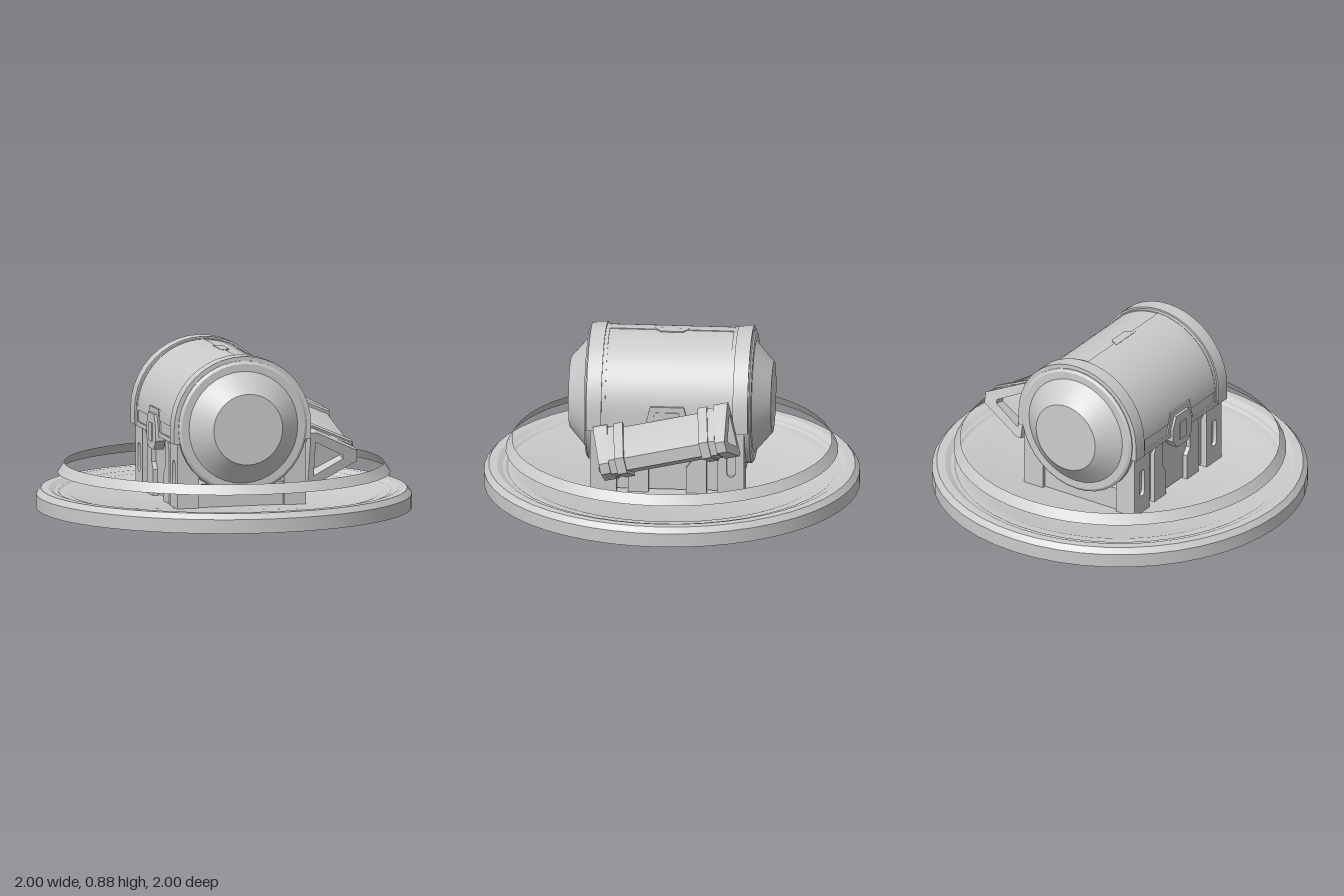
import * as THREE from 'three';
import { toCreasedNormals } from 'three/addons/utils/BufferGeometryUtils.js';

const material = new THREE.MeshStandardMaterial({ color: 0xcccccc });
const thin = new THREE.MeshStandardMaterial({ color: 0xcccccc, side: THREE.DoubleSide });
const CX = -0.018, CY = 0.5; // axis of the canister

function add(parent, name, geometry, x = 0, y = 0, z = 0, mat = material) {
  const mesh = new THREE.Mesh(toCreasedNormals(geometry, 0.45), mat);
  mesh.name = name;
  mesh.position.set(x, y, z);
  parent.add(mesh);
  return mesh;
}

const box = (w, h, d) => new THREE.BoxGeometry(w, h, d);
const lathe = (points, n) => new THREE.LatheGeometry(points.map(p => new THREE.Vector2(...p)), n);
const outline = points => new THREE.Shape(points.map(p => new THREE.Vector2(...p)));

// Prism along z between z0 and z1
function prism(shape, z0, z1, curveSegments = 12) {
  const g = new THREE.ExtrudeGeometry(shape, { depth: z1 - z0, bevelEnabled: false, curveSegments });
  return g.translate(0, 0, z0);
}

// Plate on a side wall: shape drawn in (z, y), thickness grows outward from x
function sidePlate(parent, name, shape, side, x, thickness) {
  const g = prism(shape, 0, thickness).rotateY(-Math.PI / 2); // shape x -> z, depth -> -x
  return add(parent, name, g, side > 0 ? x + thickness : -x, 0, 0);
}

// Arched section: half ring with straight ends reaching down to y = drop
function arch(outer, inner, drop) {
  const s = new THREE.Shape();
  s.moveTo(outer, drop);
  s.lineTo(outer, 0);
  s.absarc(0, 0, outer, 0, Math.PI, false);
  s.lineTo(-outer, drop);
  s.lineTo(-inner, drop);
  s.lineTo(-inner, 0);
  s.absarc(0, 0, inner, Math.PI, 0, true);
  s.lineTo(inner, drop);
  s.closePath();
  return s;
}

function createBase(parent) {
  // Dished disc with a chamfered rim
  add(parent, 'baseDisc', lathe([[0, 0], [0.72, 0], [0.73, 0.01], [1, 0.01], [1, 0.085], [0.975, 0.115],
    [0.93, 0.115], [0.9, 0.1], [0.885, 0.1], [0.87, 0.09], [0.825, 0.09], [0.775, 0.07], [0, 0.07]], 48));
  // Thin hovering band
  add(parent, 'hoverRing', lathe([[0.885, 0.2], [0.85, 0.253]], 48), 0, 0, 0, thin);
}

function createCanister(parent) {
  const can = new THREE.Group();
  can.name = 'canister';
  can.position.set(CX, CY, 0);
  parent.add(can);

  // Core with bevelled end caps
  add(can, 'core', lathe([[0, -0.54], [0.19, -0.54], [0.287, -0.455], [0.3, -0.445], [0.34, -0.445], [0.355, -0.435],
    [0.355, 0.435], [0.34, 0.445], [0.3, 0.445], [0.287, 0.455], [0.19, 0.54], [0, 0.54]], 36).rotateX(Math.PI / 2));

  // Lid shell, end bands and thin inner lips
  add(can, 'lidShell', prism(arch(0.362, 0.34, -0.08), -0.35, 0.35, 20));
  for (const s of [-1, 1]) {
    add(can, 'endBand', prism(arch(0.378, 0.34, -0.08), -0.04, 0.04, 10), 0, 0, s * 0.39);
    add(can, 'bandLip', prism(arch(0.368, 0.34, -0.08), -0.01, 0.01, 16), 0, 0, s * 0.34);
  }

  // Overlapping half of the lid with its tab
  const half = new THREE.Shape();
  half.absarc(0, 0, 0.366, Math.PI / 2, Math.PI, false);
  half.absarc(0, 0, 0.35, Math.PI, Math.PI / 2, true);
  add(can, 'lidOverlap', prism(half, -0.33, 0.33, 12));
  const tab = outline([[-0.02, -0.09], [0.03, -0.06], [0.03, 0.06], [-0.02, 0.09]]);
  add(can, 'lidTab', prism(tab, 0, 0.012).rotateX(-Math.PI / 2), 0, 0.355, 0);

  for (const side of [-1, 1]) {
    // Stepped trim along the lid edge
    const trim = outline([[-0.35, -0.085], [0.35, -0.085], [0.35, -0.06], [0.12, -0.06], [0.09, 0.06],
      [-0.09, 0.06], [-0.12, -0.06], [-0.35, -0.06]]);
    sidePlate(can, 'edgeTrim', trim, side, 0.352, 0.018);
    // Side latch
    const latch = outline([[-0.05, -0.16], [0.05, -0.16], [0.09, -0.11], [0.09, -0.04], [0.06, 0.03],
      [-0.06, 0.03], [-0.09, -0.04], [-0.09, -0.11]]);
    sidePlate(can, 'latch', latch, side, 0.33, side > 0 ? 0.045 : 0.055);
    sidePlate(can, 'latchButton', outline([[-0.03, -0.12], [0.03, -0.12], [0.03, -0.02], [-0.03, -0.02]]),
      side, 0.37, 0.02);
  }
}

function createCradle(parent) {
  const cradle = new THREE.Group();
  cradle.name = 'cradle';
  cradle.position.x = CX;
  parent.add(cradle);
  add(cradle, 'cradleFloor', box(0.48, 0.13, 0.78), 0, 0.13, 0);

  for (const side of [-1, 1]) {
    add(cradle, 'sideWall', box(0.07, 0.35, 0.74), side * 0.285, 0.255, 0);
    for (const end of [-1, 1]) {
      // Corner foot with a slotted face
      add(cradle, 'cornerFoot', box(0.1, 0.36, 0.14), side * 0.285, 0.25, end * 0.34);
      const zc = end * 0.34;
      const face = outline([[zc - 0.07, 0.07], [zc + 0.07, 0.07], [zc + 0.07, 0.43], [zc - 0.07, 0.43]]);
      const slot = new THREE.Path();
      slot.absarc(zc, 0.3, 0.022, 0, Math.PI, false);
      slot.absarc(zc, 0.19, 0.022, Math.PI, Math.PI * 2, false);
      face.holes.push(slot);
      sidePlate(cradle, 'footFace', face, side, 0.33, 0.025);
      // Notched inner rib
      const z = v => end * v;
      const points = [[z(0.1), 0.07], [z(0.21), 0.07], [z(0.21), 0.36], [z(0.18), 0.42], [z(0.13), 0.42],
        [z(0.13), 0.25], [z(0.1), 0.21]];
      sidePlate(cradle, 'innerRib', outline(points), side, 0.315, 0.03);
    }
  }
}

// Wedge section of the side pack: tall at the inside, blunt at the outside
const wedge = (x0, x1, h, t) => [[x0, -h], [x0 + 0.03, -h], [x1, -t], [x1, t], [x0 + 0.03, h], [x0, h]];

function createSidePack(parent) {
  const pack = new THREE.Group();
  pack.name = 'sidePack';
  pack.position.set(0, 0.38, 0);
  pack.rotation.x = 0.22;
  parent.add(pack);

  add(pack, 'packBody', prism(outline(wedge(0.385, 0.625, 0.125, 0.035)), -0.29, 0.29));
  for (const end of [-1, 1]) {
    const span = (a, b) => (end > 0 ? [a, b] : [-b, -a]);
    add(pack, 'packCollar', prism(outline(wedge(0.375, 0.64, 0.15, 0.045)), ...span(0.205, 0.255)));
    add(pack, 'packBand', prism(outline(wedge(0.38, 0.63, 0.138, 0.04)), ...span(0.255, 0.29)));

    // End frame with a triangular recess, leaning back toward the outside
    const frame = outline(wedge(0.37, 0.64, 0.15, 0.03));
    frame.holes.push(new THREE.Path([[0.4, -0.095], [0.4, 0.095], [0.56, 0.01], [0.56, -0.01]]
      .map(p => new THREE.Vector2(...p))));
    const g = prism(frame, ...span(0.29, 0.37));
    const pos = g.attributes.position;
    for (let i = 0; i < pos.count; i++) {
      if (Math.abs(pos.getZ(i)) > 0.33) pos.setZ(i, pos.getZ(i) - end * (pos.getX(i) - 0.37) * 0.1);
    }
    add(pack, 'packEndFrame', g);
  }
  // Mount joining the pack to the canister
  add(pack, 'packMount', box(0.06, 0.14, 0.3), 0.36, 0, 0);
}

export function createModel() {
  const model = new THREE.Group();
  model.name = 'canisterOnBase';
  createBase(model);
  createCradle(model);
  createCanister(model);
  createSidePack(model);
  return model;
}
